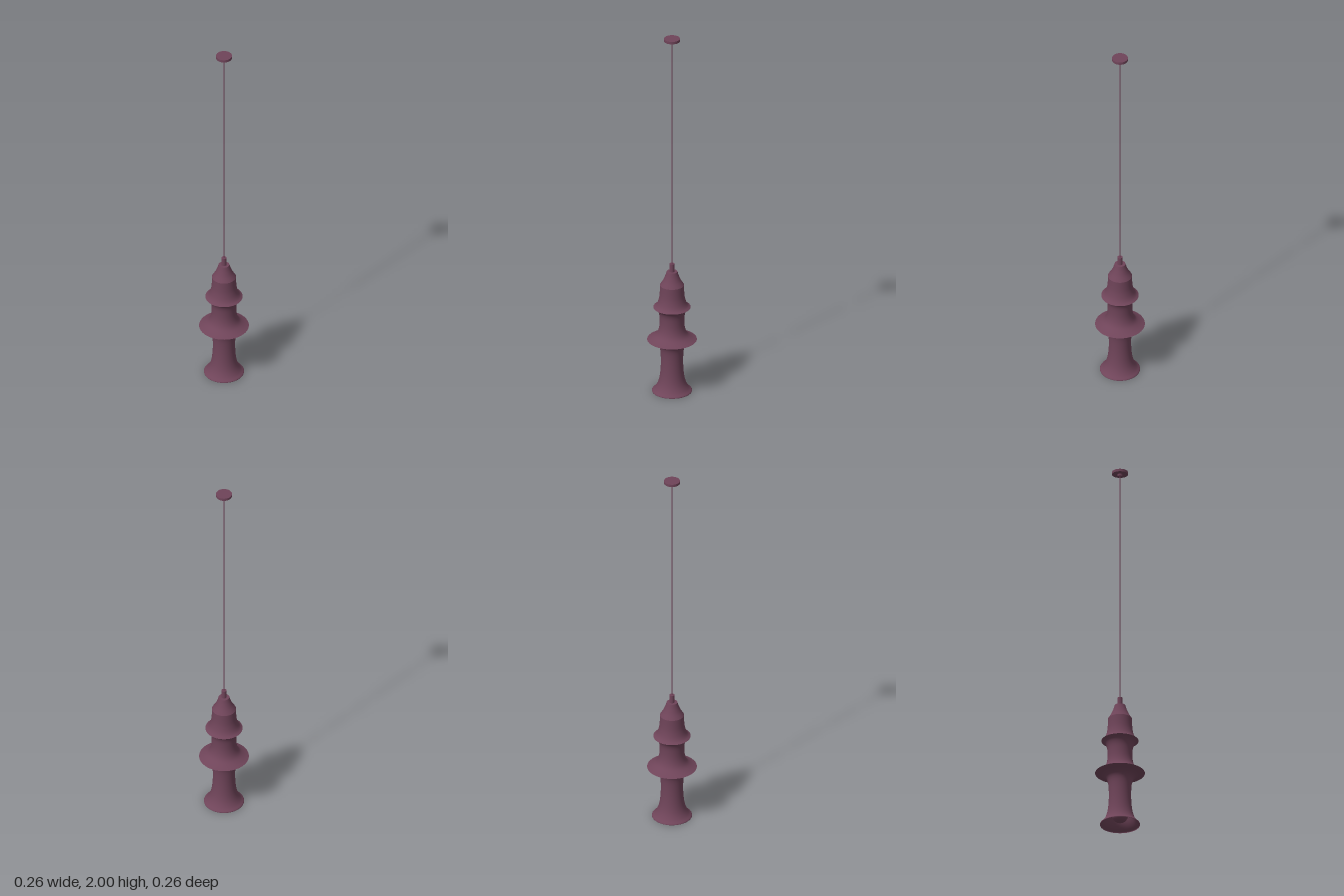
import * as THREE from 'three';

const material = new THREE.MeshStandardMaterial({ color: 0x6f4459, side: THREE.DoubleSide });

const toPoints = (pairs) => pairs.map(([r, y]) => new THREE.Vector2(r, y));

// Revolve a profile of [radius, height] pairs, optionally smoothed by a spline
function lathe(name, pairs, smooth = false) {
  const points = toPoints(pairs);
  const profile = smooth ? new THREE.SplineCurve(points).getPoints(28) : points;
  const mesh = new THREE.Mesh(new THREE.LatheGeometry(profile, 64), material);
  mesh.name = name;
  return mesh;
}

function cylinder(name, radius, bottom, top, sides = 32) {
  const mesh = new THREE.Mesh(new THREE.CylinderGeometry(radius, radius, top - bottom, sides), material);
  mesh.position.y = (bottom + top) / 2;
  mesh.name = name;
  return mesh;
}

export function createModel() {
  const model = new THREE.Group();
  model.name = 'pendantLamp';

  // Ceiling canopy, cord and cord grip
  model.add(cylinder('canopy', 0.041, 1.986, 2, 48));
  model.add(cylinder('canopyHub', 0.013, 1.974, 1.987));
  model.add(cylinder('cord', 0.0035, 0.71, 1.98, 12));
  model.add(cylinder('cordGrip', 0.013, 0.67, 0.72));

  // Shade: separate sections meet at sharp rims, open at the bottom
  const shade = new THREE.Group();
  shade.name = 'shade';
  shade.add(lathe('lowerFlare', [
    [0.103, 0], [0.102, 0.005], [0.088, 0.018], [0.073, 0.045], [0.063, 0.085],
    [0.058, 0.14], [0.058, 0.2], [0.063, 0.245], [0.076, 0.27], [0.1, 0.285], [0.128, 0.292],
  ], true));
  shade.add(lathe('middleFlare', [
    [0.128, 0.292], [0.105, 0.303], [0.083, 0.32], [0.07, 0.345], [0.064, 0.38],
    [0.065, 0.425], [0.072, 0.452], [0.083, 0.467], [0.096, 0.475],
  ], true));
  shade.add(lathe('upperFlare', [
    [0.096, 0.475], [0.083, 0.485], [0.073, 0.503], [0.066, 0.53], [0.063, 0.56], [0.062, 0.6],
  ], true));
  shade.add(lathe('shoulder', [
    [0.062, 0.6], [0.046, 0.626], [0.035, 0.652], [0.028, 0.676],
  ], true));
  shade.add(lathe('shadeTop', [[0.028, 0.676], [0, 0.676]]));
  model.add(shade);

  // Bulb and its holder inside the shade
  model.add(lathe('bulb', [
    [0, 0.013], [0.022, 0.019], [0.037, 0.035], [0.042, 0.056],
    [0.037, 0.08], [0.025, 0.108], [0.018, 0.135],
  ], true));
  model.add(cylinder('bulbHolder', 0.019, 0.13, 0.2));
  model.add(cylinder('innerStem', 0.006, 0.2, 0.676, 16));

  return model;
}
